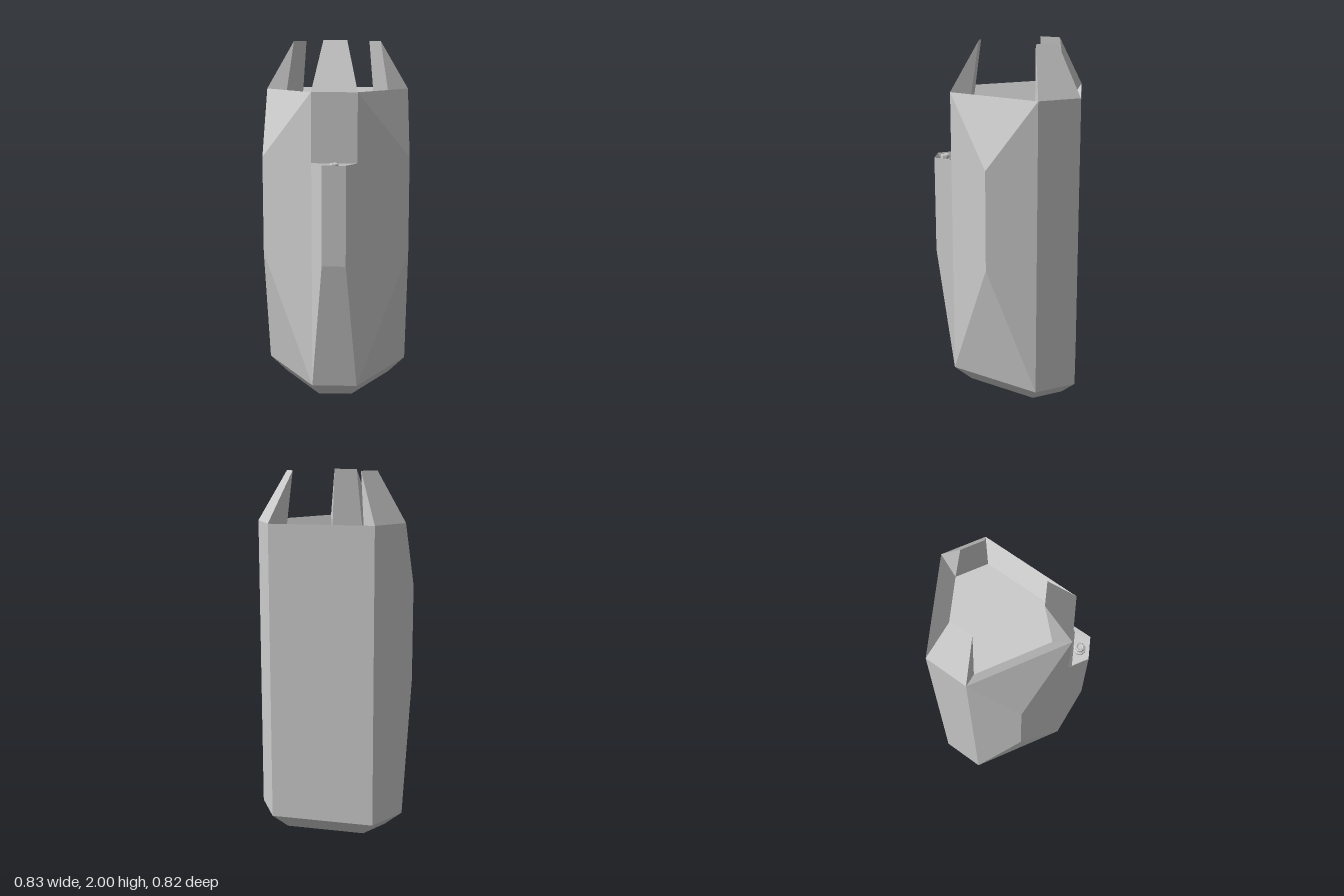
import * as THREE from 'three';

const material = new THREE.MeshStandardMaterial({ color: 0xcccccc, flatShading: true });
const V = (x, y, z) => new THREE.Vector3(x, y, z);

// Mesh from flat convex faces, corners counter-clockwise seen from outside
function facets(name, faces) {
  const points = [];
  for (const f of faces)
    for (let i = 1; i < f.length - 1; i++) points.push(f[0], f[i], f[i + 1]);
  const geometry = new THREE.BufferGeometry().setFromPoints(points);
  geometry.computeVertexNormals();
  const mesh = new THREE.Mesh(geometry, material);
  mesh.name = name;
  return mesh;
}

// Truncated triangle: three short edges (half width, distance) turned about the tower axis
function ring(halfWidth, distance, y) {
  const points = [];
  for (let k = 0; k < 3; k++)
    for (const s of [-1, 1])
      points.push(V(s * halfWidth, 0, distance)
        .applyAxisAngle(V(0, 1, 0), k * Math.PI * 2 / 3).add(V(0, y, -0.099)));
  return points;
}

export function createModel() {
  const group = new THREE.Group();
  const yBase = 0.085, yRim = 1.727, yLedge = 1.347, yBend = 0.8;
  const foot = ring(0.093, 0.308, 0);
  const base = ring(0.125, 0.404, yBase);
  const rim = ring(0.125, 0.404, yRim);
  const floor = ring(0.093, 0.305, 1.62);
  const tips = ring(0.065, 0.252, 2);
  const next = i => (i + 1) % 6;

  // Bevelled foot
  const footFaces = [[...foot].reverse()];
  for (let i = 0; i < 6; i++) footFaces.push([foot[i], foot[next(i)], base[next(i)], base[i]]);
  group.add(facets('foot', footFaces));

  // Plain walls, with the front one stopping at the ledge
  const ledgeBack = [0, 1].map(i => V(base[i].x, yLedge, base[i].z));
  const wallFaces = [2, 3, 4].map(i => [base[i], base[i + 1], rim[i + 1], rim[i]]);
  wallFaces.push([ledgeBack[0], ledgeBack[1], rim[1], rim[0]]);
  group.add(facets('walls', wallFaces));

  // Faceted side bulges
  for (const [i, s, name] of [[1, 1, 'leftBulge'], [5, -1, 'rightBulge']]) {
    const j = next(i), low = V(s * 0.415, yBend, 0.083), high = V(s * 0.415, 1.355, 0.083);
    group.add(facets(name, [
      [base[i], low, high, rim[i]],
      [low, base[j], rim[j], high],
      [rim[i], high, rim[j]],
      [base[i], base[j], low],
    ]));
  }

  // Front buttress
  const [lowL, lowR, topL, topR] = [yBend, yLedge].flatMap(y => [-1, 1].map(s => V(s * 0.065, y, 0.41)));
  group.add(facets('frontButtress', [
    [lowL, lowR, topR, topL],
    [base[0], base[1], lowR, lowL],
    [base[0], lowL, topL, ledgeBack[0]],
    [lowR, base[1], ledgeBack[1], topR],
  ]));

  // Shallow tray on top of the buttress
  const yTray = 1.31;
  const trayTop = [ledgeBack[0], topL, topR, ledgeBack[1]];
  const trayFloor = [V(-0.098, yTray, 0.325), V(-0.058, yTray, 0.392),
    V(0.058, yTray, 0.392), V(0.098, yTray, 0.325)];
  const trayFaces = [trayFloor];
  for (let i = 0; i < 4; i++) {
    const j = (i + 1) % 4;
    trayFaces.push([trayTop[i], trayTop[j], trayFloor[j], trayFloor[i]]);
  }
  group.add(facets('tray', trayFaces));

  // Stepped knob in the tray
  const profile = [[0.034, 0], [0.034, 0.015], [0.026, 0.02], [0.026, 0.04],
    [0.019, 0.045], [0.013, 0.038], [0, 0.038]].map(p => new THREE.Vector2(...p));
  const knob = new THREE.Mesh(new THREE.LatheGeometry(profile, 8, Math.PI / 8), material);
  knob.position.set(0, yTray, 0.358);
  knob.name = 'knob';
  group.add(knob);

  // Sunken roof with sloping parapets
  const roofFaces = [floor];
  for (const i of [1, 3, 5]) roofFaces.push([floor[next(i)], floor[i], rim[i], rim[next(i)]]);
  group.add(facets('roof', roofFaces));

  // Wedge horns on the three short edges
  [0, 2, 4].forEach((i, n) => {
    const j = i + 1;
    group.add(facets(['frontHorn', 'backLeftHorn', 'backRightHorn'][n], [
      [rim[i], rim[j], tips[j], tips[i]],
      [floor[j], floor[i], tips[i], tips[j]],
      [rim[j], floor[j], tips[j]],
      [floor[i], rim[i], tips[i]],
    ]));
  });

  return group;
}
